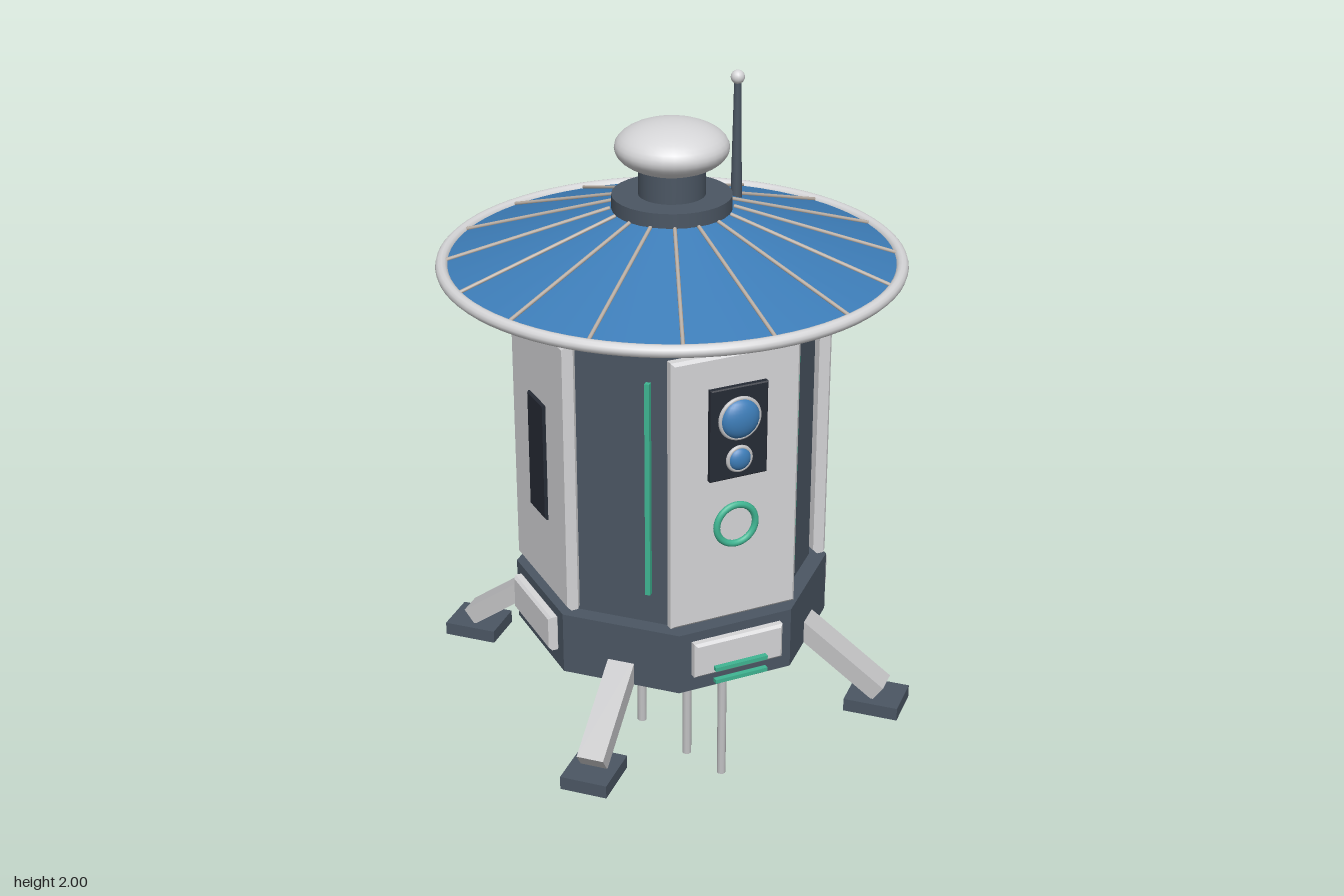
import * as THREE from 'three';

const mat = (name, color, side = THREE.FrontSide) => {
  const m = new THREE.MeshStandardMaterial({ color, side });
  m.name = name;
  return m;
};
const M = {
  white: mat('white panel', 0xd6d6d8),
  slate: mat('slate hull', 0x4b5663),
  blue: mat('solar blue', 0x3d7db8, THREE.DoubleSide),
  black: mat('dark glass', 0x262b35),
  teal: mat('teal light', 0x3fb592),
  metal: mat('light metal', 0xc2c2c4),
  rib: mat('warm rib', 0xb9aea4),
};

export function createModel() {
  const root = new THREE.Group();

  const add = (name, geo, material, x = 0, y = 0, z = 0, parent = root) => {
    const m = new THREE.Mesh(geo, material);
    m.name = name;
    m.position.set(x, y, z);
    parent.add(m);
    return m;
  };
  const flat = (g) => {
    const f = g.toNonIndexed();
    f.computeVertexNormals();
    return f;
  };
  // octagonal drum with flats facing the axes, sized by its apothem
  const octagon = (apothem, h) => {
    const r = apothem / Math.cos(Math.PI / 8);
    return flat(new THREE.CylinderGeometry(r, r, h, 8).rotateY(Math.PI / 8));
  };
  // plate with a chamfered outer face, back at z = 0
  const plate = (w, h, d, b) => {
    const s = new THREE.Shape();
    const x = w / 2 - b, y = h / 2 - b;
    s.moveTo(-x, -y).lineTo(x, -y).lineTo(x, y).lineTo(-x, y);
    return new THREE.ExtrudeGeometry(s, {
      depth: d - 2 * b, bevelEnabled: true, bevelSize: b, bevelThickness: b, bevelSegments: 1,
    }).translate(0, 0, b);
  };
  // round bar between two points
  const bar = (name, a, b, r, material) => {
    const dir = b.clone().sub(a);
    const m = add(name, new THREE.CylinderGeometry(r, r, dir.length(), 10), material);
    m.position.copy(a).add(b).multiplyScalar(0.5);
    m.quaternion.setFromUnitVectors(new THREE.Vector3(0, 1, 0), dir.normalize());
    return m;
  };

  // hull
  add('base', octagon(0.386, 0.17), M.slate, 0, 0.605, 0);
  add('body', octagon(0.343, 0.77), M.slate, 0, 1.075, 0);
  add('neck', new THREE.CylinderGeometry(0.28, 0.28, 0.04, 24), M.slate, 0, 1.465, 0);
  add('roofCollar', flat(new THREE.CylinderGeometry(0.41, 0.41, 0.066, 20)), M.slate, 0, 1.508, 0);

  // four sides: wall panel, base panel, and windows on left and right
  for (let i = 0; i < 4; i++) {
    const side = new THREE.Group();
    side.name = 'side' + i;
    side.rotation.y = i * Math.PI / 2;
    root.add(side);
    add('wallPanel', plate(0.352, 0.736, 0.035, 0.008), M.white, 0, 1.074, 0.341, side);
    add('basePanel', plate(0.252, 0.098, 0.03, 0.007), M.white, 0, 0.617, 0.381, side);
    if (i % 2) add('window', plate(0.106, 0.324, 0.012, 0.004), M.black, 0, 1.075, 0.372, side);
  }

  // front camera with two lenses
  add('cameraPlate', plate(0.157, 0.248, 0.018, 0.003), M.black, 0, 1.234, 0.373);
  for (const [y, r, bulge] of [[1.273, 0.053, 0.027], [1.163, 0.031, 0.018]]) {
    add('lensRing', new THREE.TorusGeometry(r, 0.006, 8, 32), M.metal, 0, y, 0.392);
    const lens = add('lens', new THREE.SphereGeometry(r, 28, 16), M.blue, 0, y, 0.391);
    lens.scale.z = bulge / r;
  }

  // status lights
  add('ringLight', new THREE.TorusGeometry(0.054, 0.009, 10, 36), M.teal, 0, 0.974, 0.379);
  for (const y of [0.589, 0.553])
    add('ventLight', new THREE.BoxGeometry(0.148, 0.011, 0.014), M.teal, 0, y, 0.418);
  for (const s of [-1, 1]) {
    const strip = add('stripLight', new THREE.BoxGeometry(0.013, 0.588, 0.014), M.teal, s * 0.205, 1.073, 0.298);
    strip.rotation.y = s * Math.PI / 4;
  }

  // roof cone, ribs and rim
  add('solarRoof', new THREE.CylinderGeometry(0.14, 0.58, 0.14, 64, 1, true), M.blue, 0, 1.622, 0);
  add('roofRim', new THREE.TorusGeometry(0.581, 0.016, 12, 80).rotateX(Math.PI / 2), M.white, 0, 1.551, 0);
  for (let i = 0; i < 16; i++) {
    const a = i * Math.PI / 8, c = Math.cos(a), s = Math.sin(a);
    bar('roofRib', new THREE.Vector3(0.155 * c, 1.69, 0.155 * s),
      new THREE.Vector3(0.57 * c, 1.558, 0.57 * s), 0.005, M.rib);
  }

  // top dome on its stem
  add('topCollar', new THREE.CylinderGeometry(0.152, 0.152, 0.04, 32), M.slate, 0, 1.706, 0);
  add('stem', new THREE.CylinderGeometry(0.085, 0.085, 0.1, 32), M.slate, 0, 1.76, 0);
  add('dome', new THREE.SphereGeometry(0.144, 32, 20), M.white, 0, 1.848, 0).scale.y = 0.46;

  // antenna
  add('antenna', new THREE.CylinderGeometry(0.009, 0.015, 0.315, 14), M.slate, 0.21, 1.822, -0.06);
  add('antennaTip', new THREE.SphereGeometry(0.018, 16, 12), M.white, 0.21, 1.982, -0.06);

  // four diagonal legs with feet
  for (let i = 0; i < 4; i++) {
    const leg = new THREE.Group();
    leg.name = 'leg' + i;
    leg.rotation.y = Math.PI / 4 + i * Math.PI / 2;
    root.add(leg);
    const dz = 0.255, dy = -0.183;
    const strut = add('strut', new THREE.BoxGeometry(0.072, 0.05, Math.hypot(dz, dy)), M.metal,
      0, 0.402 - dy / 2, 0.595 - dz / 2, leg);
    strut.rotation.x = Math.atan2(-dy, dz);
    add('foot', new THREE.BoxGeometry(0.125, 0.036, 0.147), M.slate, 0, 0.367, 0.583, leg);
  }

  // probes under the base
  for (const [x, z, y] of [[-0.122, 0.068, 0.245], [0, 0.097, 0.12], [0.122, 0.068, 0]])
    bar('probe', new THREE.Vector3(x, 0.53, z), new THREE.Vector3(x, y, z), 0.0125, M.metal);

  return root;
}
